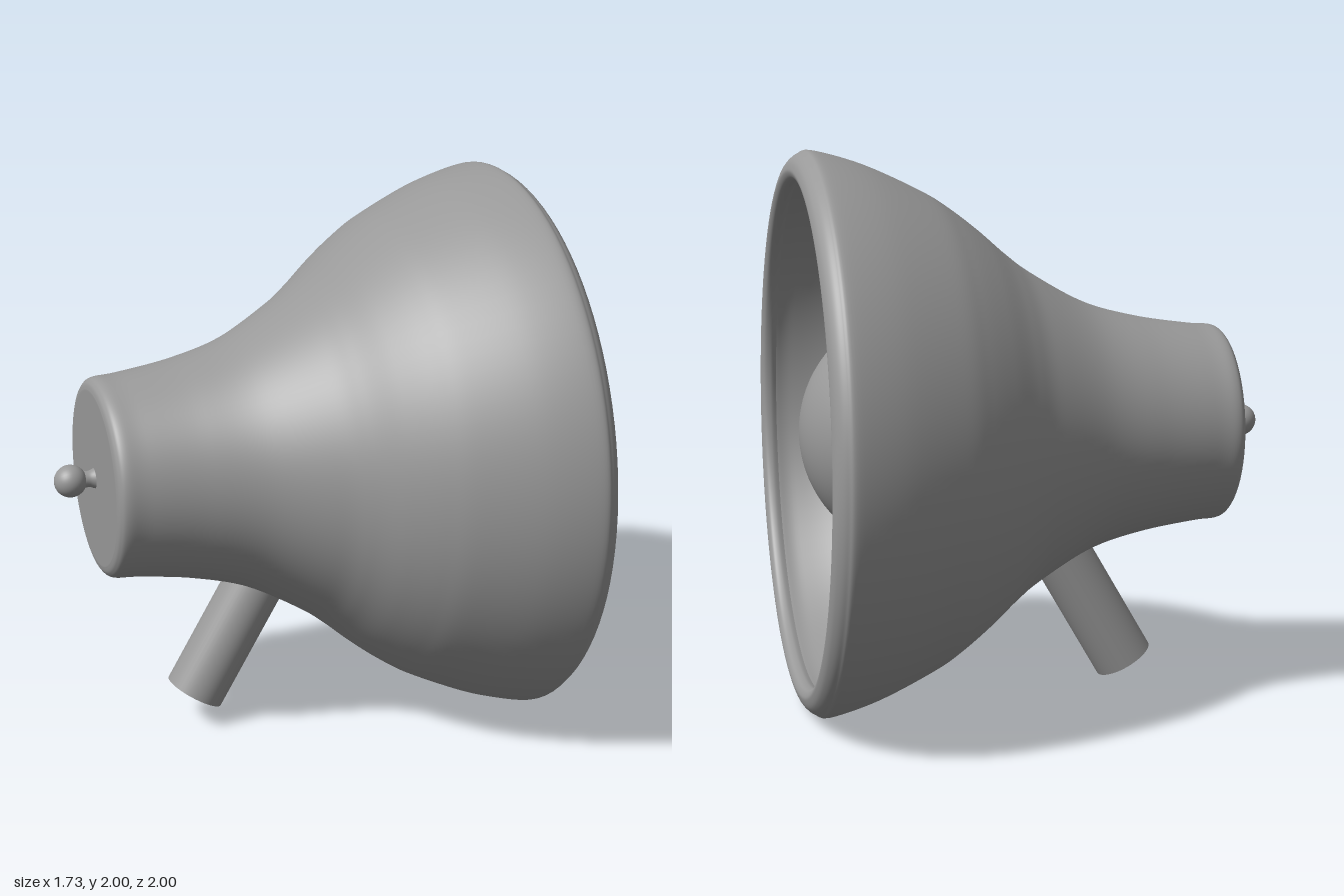
import * as THREE from 'three';

export function createModel() {
  const root = new THREE.Group();
  const material = new THREE.MeshStandardMaterial({ color: 0x999999 });

  const add = (name, geometry, parent = root) => {
    const mesh = new THREE.Mesh(geometry, material);
    mesh.name = name;
    parent.add(mesh);
    return mesh;
  };
  // Smooth curve through [position along axis, radius] pairs, as lathe points
  const smooth = (pairs, steps) =>
    new THREE.SplineCurve(pairs.map(([a, r]) => new THREE.Vector2(r, a))).getPoints(steps);

  // Everything turned about the horn axis: lathe +y becomes +x, very slightly tilted
  const horn = new THREE.Group();
  horn.name = 'horn';
  horn.rotation.set(0, 0.005, -Math.PI / 2 + 0.006);
  horn.position.set(0, 0.995, 0.004);
  root.add(horn);

  // Flat back with rounded edge, flared outside, rolled rim
  const shell = [
    new THREE.Vector2(0, -0.72),
    new THREE.Vector2(0.31, -0.72),
    ...smooth([
      [-0.72, 0.315], [-0.712, 0.34], [-0.685, 0.358], [-0.6, 0.365], [-0.4, 0.396],
      [-0.2, 0.453], [0, 0.563], [0.1, 0.636], [0.2, 0.722], [0.3, 0.798], [0.4, 0.86],
      [0.6, 0.951], [0.77, 1], [0.815, 0.992], [0.843, 0.968], [0.855, 0.94],
      [0.855, 0.922], [0.843, 0.903], [0.82, 0.897], [0.8, 0.903],
    ], 140),
  ];
  add('shell', new THREE.LatheGeometry(shell, 96), horn);

  // Inner wall, thick at the mouth and thin along the neck
  const inner = [
    ...smooth([
      [0.8, 0.903], [0.74, 0.9], [0.6, 0.864], [0.4, 0.778], [0.2, 0.655],
      [0, 0.527], [-0.2, 0.442], [-0.4, 0.386], [-0.55, 0.361], [-0.69, 0.345],
    ], 60),
    new THREE.Vector2(0, -0.7),
  ];
  add('innerWall', new THREE.LatheGeometry(inner, 96), horn);

  // Round bulb in the mouth
  add('bulb', new THREE.SphereGeometry(0.441, 64, 40), horn).position.y = 0.39;

  // Small knob on the back
  const stem = smooth([[-0.72, 0.036], [-0.74, 0.029], [-0.77, 0.03]].reverse(), 10);
  add('knobStem', new THREE.LatheGeometry(stem, 32), horn);
  add('knob', new THREE.SphereGeometry(0.058, 32, 24), horn).position.y = -0.806;

  // Slanted handle, its upper end just inside the horn
  const length = 0.6;
  const slant = Math.PI / 6;
  const handle = add('handle', new THREE.CylinderGeometry(0.11, 0.11, length, 48));
  handle.rotation.z = -slant;
  handle.position.set(
    -0.36 + Math.sin(slant) * length / 2,
    0.111 + Math.cos(slant) * length / 2,
    0,
  );

  return root;
}
